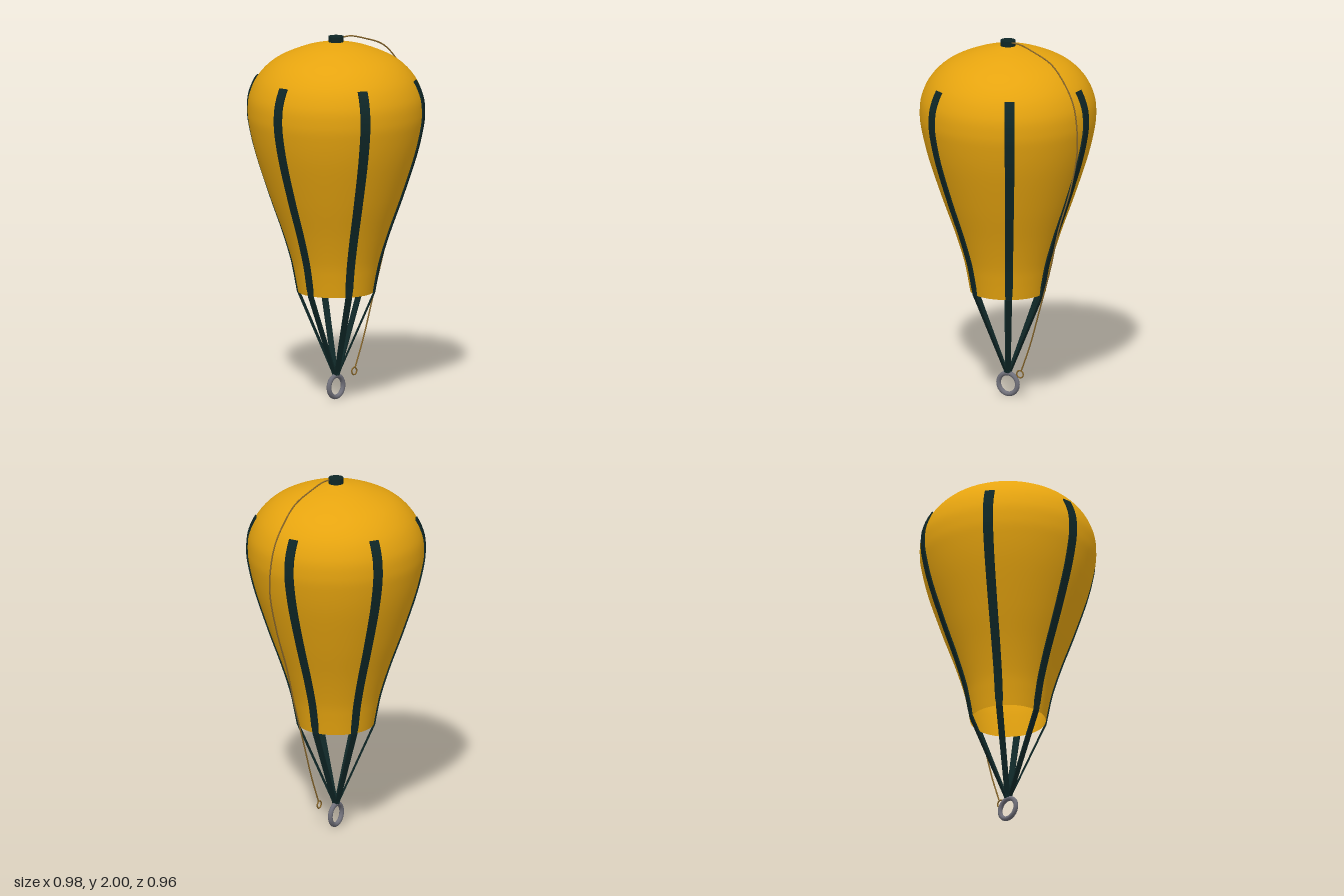
import * as THREE from 'three';

// canopy profile as (radius, height), mouth to crown
const PROFILE = [
  [0.205, 0.595], [0.222, 0.69], [0.243, 0.785], [0.29, 0.935], [0.36, 1.13], [0.432, 1.35],
  [0.468, 1.5], [0.478, 1.59], [0.468, 1.685], [0.42, 1.785], [0.33, 1.87], [0.195, 1.932], [0.08, 1.962], [0, 1.975],
].map(([r, y]) => new THREE.Vector2(r, y));

const material = (name, color, side = THREE.FrontSide) =>
  Object.assign(new THREE.MeshStandardMaterial({ color, side }), { name });

function addMesh(parent, name, geometry, mat) {
  const mesh = new THREE.Mesh(geometry, mat);
  mesh.name = name;
  parent.add(mesh);
  return mesh;
}

// a thin webbing strip: side profile extruded sideways, then tapered by height
function strapGeometry(canopyPoints) {
  const path = [new THREE.Vector2(0.006, 0.135), ...canopyPoints.filter((p) => p.y < 1.77 && p.x > 0.2)];
  const outer = path.map((p, i) => {
    const a = path[Math.max(i - 1, 0)];
    const b = path[Math.min(i + 1, path.length - 1)];
    const t = b.clone().sub(a).normalize();
    return new THREE.Vector2(p.x + t.y * 0.008, p.y - t.x * 0.008);
  });
  const shape = new THREE.Shape([...outer, ...path.slice().reverse()]);
  const geo = new THREE.ExtrudeGeometry(shape, { depth: 1, bevelEnabled: false });
  const pos = geo.attributes.position;
  for (let i = 0; i < pos.count; i++) {
    const y = pos.getY(i);
    const width = y < 0.62
      ? THREE.MathUtils.mapLinear(y, 0.13, 0.62, 0.028, 0.036)
      : THREE.MathUtils.mapLinear(Math.min(y, 1.5), 0.62, 1.5, 0.042, 0.054);
    pos.setZ(i, (pos.getZ(i) - 0.5) * width);
  }
  geo.computeVertexNormals();
  return geo;
}

export function createModel() {
  const model = new THREE.Group();
  model.name = 'liftBag';
  const fabric = material('yellowFabric', 0xe6a40f, THREE.DoubleSide);
  const webbing = material('darkWebbing', 0x0f2727);
  const steel = material('greySteel', 0x70707a);
  const rope = material('tanRope', 0x86652a);

  // bag and everything on its axis
  const bag = new THREE.Group();
  bag.name = 'bag';
  bag.position.x = -0.007;
  model.add(bag);

  // open-mouthed canopy
  const points = new THREE.SplineCurve(PROFILE).getPoints(78);
  points[points.length - 1].x = 0;
  addMesh(bag, 'canopy', new THREE.LatheGeometry(points, 72), fabric);

  // dump valve on the crown
  addMesh(bag, 'crownValve', new THREE.CylinderGeometry(0.041, 0.041, 0.04, 32), webbing).position.y = 1.98;

  // six straps running from the canopy to the ring
  const strapGeo = strapGeometry(points);
  for (let i = 0; i < 6; i++) {
    addMesh(bag, 'strap', strapGeo, webbing).rotation.y = (i * Math.PI) / 3;
  }

  // lifting ring
  addMesh(bag, 'liftingRing', new THREE.TorusGeometry(0.058, 0.013, 16, 48), steel).position.y = 0.071;

  // pull cord hanging from the valve, with a small loop at its end
  const cord = new THREE.CatmullRomCurve3([
    [0.015, 1.992, 0.018], [0.08, 1.993, 0.03], [0.17, 1.97, 0.047], [0.3, 1.92, 0.072], [0.39, 1.83, 0.09],
    [0.455, 1.72, 0.105], [0.483, 1.58, 0.115], [0.483, 1.45, 0.116], [0.435, 1.235, 0.105],
    [0.355, 1.0, 0.09], [0.3, 0.785, 0.077], [0.22, 0.52, 0.062], [0.16, 0.325, 0.053], [0.1, 0.167, 0.045],
  ].map((p) => new THREE.Vector3(...p)));
  addMesh(model, 'pullCord', new THREE.TubeGeometry(cord, 90, 0.004, 8), rope);
  addMesh(model, 'pullLoop', new THREE.TorusGeometry(0.02, 0.004, 8, 28), rope).position.set(0.092, 0.147, 0.045);

  return model;
}
